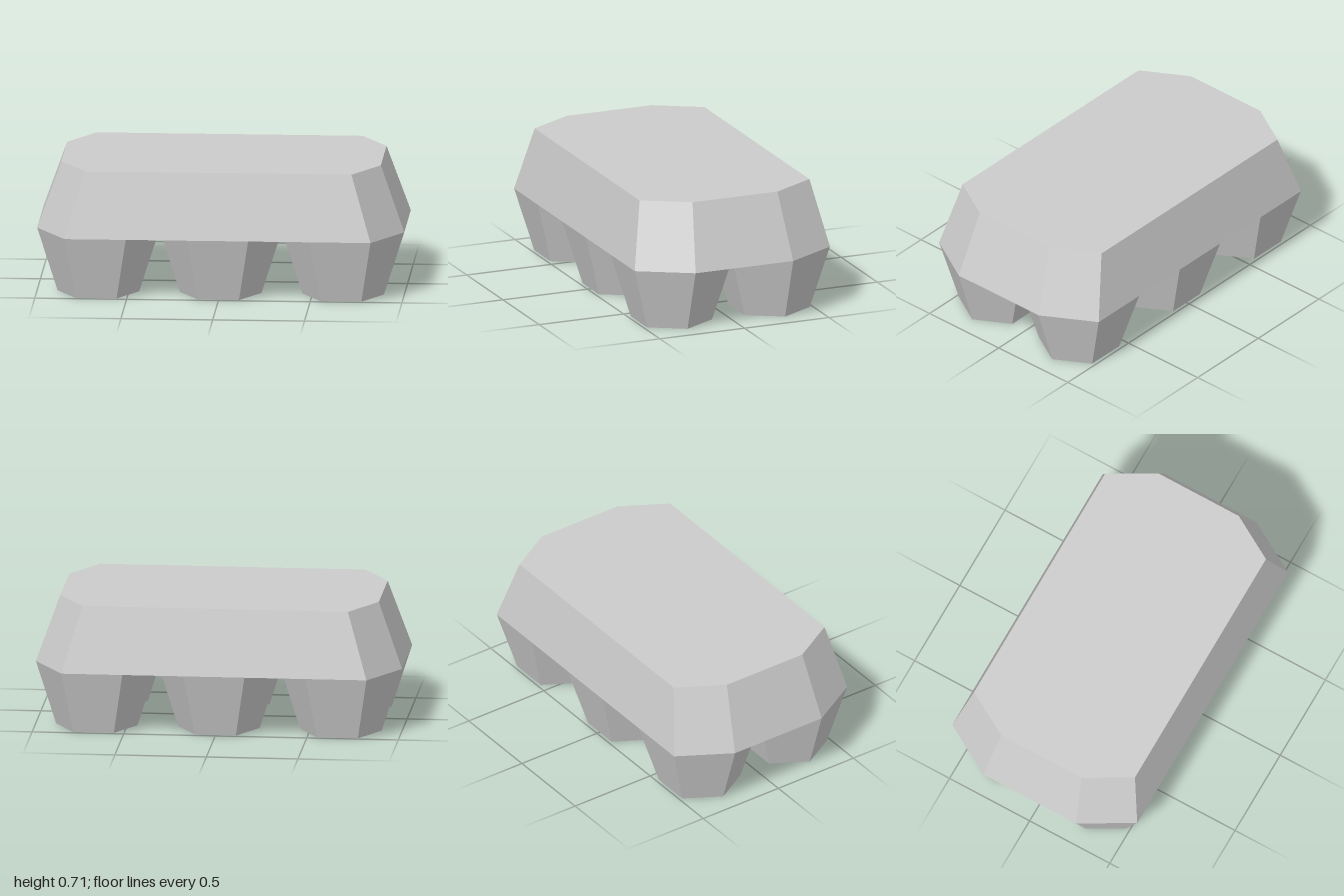
import * as THREE from 'three';

const R = 1 / 3;                     // hexagon radius at the top of a leg
const A = R * Math.sqrt(3) / 2;      // its apothem
const LEG_H = 0.347, TOP_Y = 0.71;

// Closed solid between two scaled copies of an outline of [x, z] corners
function taperedPrism(outline, y0, y1, topScale) {
  const pos = [];
  const low = outline.map(([x, z]) => [x, y0, z]);
  const high = outline.map(([x, z]) => [x * topScale, y1, z * topScale]);
  const tri = (a, b, c) => pos.push(...a, ...b, ...c);
  const n = outline.length;
  for (let i = 0; i < n; i++) {
    const j = (i + 1) % n;
    tri(low[i], low[j], high[j]);
    tri(low[i], high[j], high[i]);
    if (i > 0 && j > 0) {
      tri(high[0], high[i], high[j]);
      tri(low[0], low[j], low[i]);
    }
  }
  const g = new THREE.BufferGeometry();
  g.setAttribute('position', new THREE.Float32BufferAttribute(pos, 3));
  g.computeVertexNormals();
  return g;
}

export function createModel() {
  const model = new THREE.Group();
  model.name = 'leggedBlock';
  const mat = new THREE.MeshStandardMaterial({ color: 0xcccccc, flatShading: true });

  // Body: long eight-sided slab narrowing to the top
  const e = 2.5 * R, w = 2 * A;
  const outline = [[-e, w], [e, w], [1, A], [1, -A], [e, -w], [-e, -w], [-1, -A], [-1, A]];
  const body = new THREE.Mesh(taperedPrism(outline, LEG_H, TOP_Y, 0.87), mat);
  body.name = 'body';
  model.add(body);

  // Legs: two rows of three hexagonal stubs tapering to the floor
  const legGeo = new THREE.CylinderGeometry(R, R * 2 / 3, LEG_H, 6, 1, false, Math.PI / 2);
  for (const row of [1, -1]) {
    for (const col of [-1, 0, 1]) {
      const leg = new THREE.Mesh(legGeo, mat);
      leg.name = (row > 0 ? 'front' : 'back') + ['Right', 'Middle', 'Left'][col + 1] + 'Leg';
      leg.position.set(col * 2 * R, LEG_H / 2, row * A);
      model.add(leg);
    }
  }
  return model;
}
